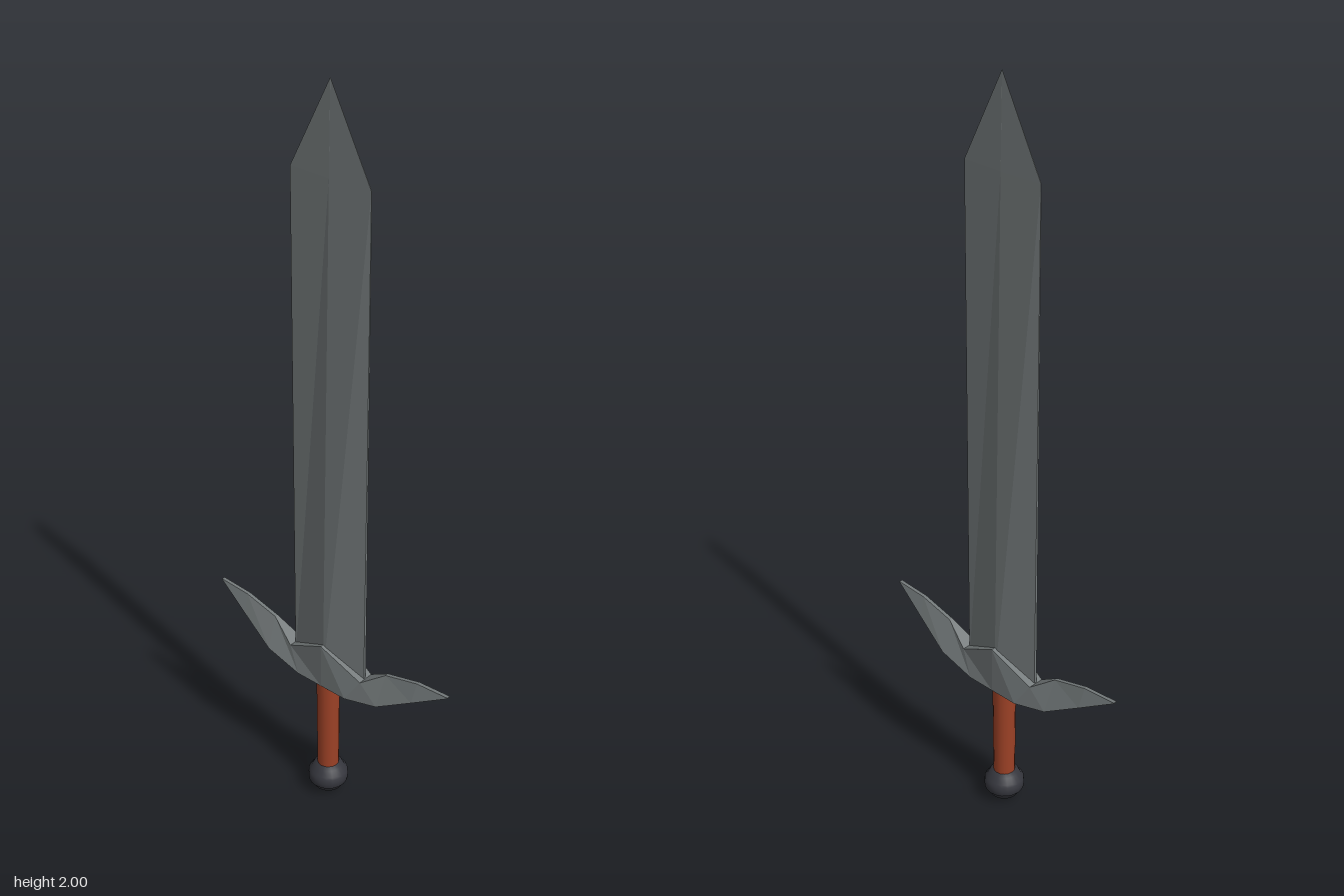
import * as THREE from 'three';

const paint = (name, color) => Object.assign(new THREE.MeshStandardMaterial({ color }), { name });

// Skin a list of equal-sized point loops, closing both ends; faces stay flat.
function loft(loops) {
  const pos = [];
  const n = loops[0].length;
  const tri = (a, b, c) => pos.push(...a, ...b, ...c);
  for (let i = 0; i < loops.length - 1; i++) {
    for (let j = 0; j < n; j++) {
      const k = (j + 1) % n;
      tri(loops[i][j], loops[i][k], loops[i + 1][k]);
      tri(loops[i][j], loops[i + 1][k], loops[i + 1][j]);
    }
  }
  const last = loops[loops.length - 1];
  for (let j = 1; j < n - 1; j++) {
    tri(loops[0][0], loops[0][j + 1], loops[0][j]);
    tri(last[0], last[j], last[j + 1]);
  }
  const g = new THREE.BufferGeometry();
  g.setAttribute('position', new THREE.Float32BufferAttribute(pos, 3));
  g.computeVertexNormals();
  return g;
}

export function createModel() {
  const sword = new THREE.Group();
  sword.name = 'sword';
  const steel = paint('steel', 0x73797a);
  const leather = paint('redBrownLeather', 0x9c4126);
  const iron = paint('darkIron', 0x35363d);

  const add = (name, geometry, material, x = 0, y = 0, z = 0) => {
    const mesh = new THREE.Mesh(geometry, material);
    mesh.name = name;
    mesh.position.set(x, y, z);
    sword.add(mesh);
  };

  // Blade: diamond sections [y, half width, ridge depth, edge depth]
  const bladeLoops = [
    [0.4, 0.118, 0.029, 0.004],
    [1.775, 0.118, 0.005, 0.001],
    [2, 0.0005, 0.0005, 0.0003],
  ].map(([y, w, r, e]) => [
    [w, y, e], [w, y, -e], [0, y, -r], [-w, y, -e], [-w, y, e], [0, y, r],
  ]);
  add('blade', loft(bladeLoops), steel, 0, 0, -0.004);

  // Crossguard: [bottom x, y, half depth, top x, y, half depth] from middle to tip
  const half = [
    [0, 0.375, 0.038, 0, 0.505, 0.038],
    [0.08, 0.375, 0.038, 0.12, 0.44, 0.023],
    [0.185, 0.405, 0.038, 0.19, 0.49, 0.005],
    [0.285, 0.462, 0.0215, 0.29, 0.516, 0.005],
    [0.385, 0.52, 0.005, 0.385, 0.522, 0.005],
  ];
  const mirrored = half.slice(1).reverse()
    .map(([bx, by, bd, tx, ty, td]) => [-bx, by, bd, -tx, ty, td]);
  const guardLoops = [...mirrored, ...half].map(([bx, by, bd, tx, ty, td]) => [
    [bx, by, bd], [bx, by, -bd], [tx, ty, -td], [tx, ty, td],
  ]);
  // Loops run with +x, seen from +x they must turn counter-clockwise
  add('crossguard', loft(guardLoops), steel, 0, 0, -0.005);

  // Grip
  add('grip', new THREE.CylinderGeometry(0.031, 0.029, 0.31, 16), leather, -0.003, 0.235, 0);

  // Pommel: ball with a raised middle band
  const profile = [
    [0, 0], [0.022, 0.005], [0.039, 0.018], [0.047, 0.034], [0.053, 0.038],
    [0.054, 0.052], [0.053, 0.066], [0.047, 0.07], [0.039, 0.087], [0.022, 0.1], [0, 0.103],
  ].map(([r, y]) => new THREE.Vector2(r, y));
  add('pommel', new THREE.LatheGeometry(profile, 20), iron, -0.003, 0, 0);

  return sword;
}
